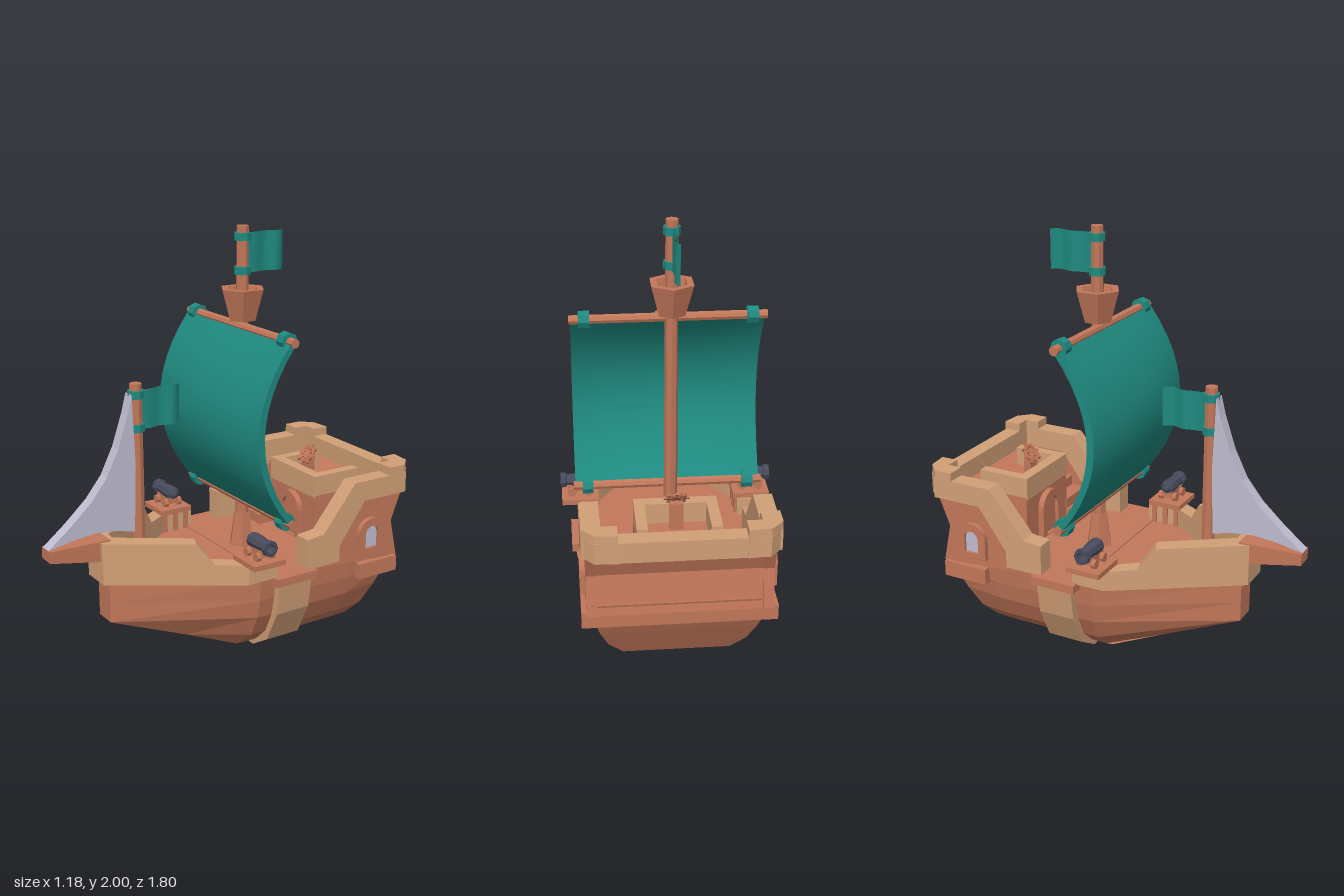
import * as THREE from 'three';

const mat = (name, color, side = THREE.FrontSide) => {
  const m = new THREE.MeshStandardMaterial({ color, side });
  m.name = name;
  return m;
};

export function createModel() {
  const wood = mat('brown wood', 0xc2775a);
  const trim = mat('tan wood', 0xd2a077);
  const teal = mat('teal cloth', 0x1f8a80, THREE.DoubleSide);
  const cloth = mat('pale cloth', 0xc0bdd0, THREE.DoubleSide);
  const iron = mat('dark iron', 0x474b5c);

  const root = new THREE.Group();
  root.name = 'ship';
  const ship = new THREE.Group();
  ship.name = 'shipBody';
  ship.position.set(-0.025, 0, -0.11);
  ship.rotation.y = -0.302;
  root.add(ship);
  const rig = new THREE.Group();
  rig.name = 'rigging';
  rig.position.x = -0.01;
  ship.add(rig);

  const add = (name, geo, m, x = 0, y = 0, z = 0, parent = ship) => {
    const mesh = new THREE.Mesh(geo, m);
    mesh.name = name;
    mesh.position.set(x, y, z);
    parent.add(mesh);
    return mesh;
  };
  const box = (name, m, x0, x1, y0, y1, z0, z1, parent = ship) =>
    add(name, new THREE.BoxGeometry(x1 - x0, y1 - y0, z1 - z0), m, (x0 + x1) / 2, (y0 + y1) / 2, (z0 + z1) / 2, parent);
  const cyl = (r0, r1, h, n = 8) => {
    const g = new THREE.CylinderGeometry(r1, r0, h, n).toNonIndexed();
    g.computeVertexNormals();
    return g;
  };
  const shapeOf = (pts) => new THREE.Shape(pts.map(([a, b]) => new THREE.Vector2(a, b)));
  const extrude = (shape, depth) => new THREE.ExtrudeGeometry(shape, { depth, bevelEnabled: false, curveSegments: 6 });
  // outline in (z, y), thickness from x0 to x1
  const sidePlate = (name, m, pts, x0, x1, parent = ship) =>
    add(name, extrude(shapeOf(pts), x1 - x0).rotateY(-Math.PI / 2), m, x1, 0, 0, parent);
  // outline in (x, z), height from y0 to y1
  const planPlate = (name, m, pts, y0, y1) =>
    add(name, extrude(shapeOf(pts.map(([x, z]) => [x, -z])), y1 - y0).rotateX(-Math.PI / 2), m, 0, y0);
  // closed solid through equal rings of points, faceted
  const loft = (rings) => {
    const n = rings[0].length, p = [];
    const tri = (a, b, c) => p.push(...a, ...b, ...c);
    for (let i = 0; i + 1 < rings.length; i++)
      for (let j = 0; j < n; j++) {
        const k = (j + 1) % n;
        tri(rings[i][j], rings[i][k], rings[i + 1][k]);
        tri(rings[i][j], rings[i + 1][k], rings[i + 1][j]);
      }
    const last = rings[rings.length - 1];
    for (let j = 1; j + 1 < n; j++) {
      tri(rings[0][0], rings[0][j + 1], rings[0][j]);
      tri(last[0], last[j], last[j + 1]);
    }
    const g = new THREE.BufferGeometry();
    g.setAttribute('position', new THREE.Float32BufferAttribute(p, 3));
    g.computeVertexNormals();
    return g;
  };

  // Hull: water-line layers [y, bow half width, bow z, side half width, stern half width, stern z]
  const layers = [
    [0.045, 0.25, 0.2, 0.255, 0.25, -0.45], [0.12, 0.17, 0.43, 0.335, 0.32, -0.49],
    [0.225, 0.055, 0.77, 0.385, 0.36, -0.545], [0.32, 0.055, 0.77, 0.405, 0.385, -0.59],
    [0.43, 0.055, 0.77, 0.415, 0.4, -0.62]];
  add('hull', loft(layers.map(([y, bw, bz, w, sw, sz]) => {
    const half = [[bw, bz], [w, 0.17], [w, -0.35], [sw, sz]];
    return [...half.map(([x, z]) => [x, y, z]), ...half.reverse().map(([x, z]) => [-x, y, z])];
  })), wood);

  // Midship band and cap plate
  const girth = [[0.23, 0.005], [0.35, 0.08], [0.43, 0.24], [0.455, 0.41]];
  add('midshipBand', extrude(shapeOf([...girth, ...girth.slice().reverse().map(([x, y]) => [-x, y])]), 0.18), trim, 0, 0, -0.09);
  box('midshipCap', wood, -0.47, 0.47, 0.395, 0.435, -0.115, 0.115);

  // Bow bulwark, carried round from one side to the other: [outer x, outer z, inner x, inner z, top]
  const path = [[0.435, 0.09, 0.35, 0.09, 0.525], [0.435, 0.25, 0.35, 0.25, 0.525], [0.351, 0.38, 0.275, 0.361, 0.53],
    [0.306, 0.45, 0.234, 0.421, 0.63], [0.075, 0.81, 0.025, 0.73, 0.63]];
  const fullPath = [...path, ...path.slice().reverse().map(([a, b, c, d, e]) => [-a, b, -c, d, e])];
  add('bowBulwark', loft(fullPath.map(([ox, oz, ix, iz, t]) =>
    [[ox, 0.43, oz], [ox, t, oz], [ix, t, iz], [ix, 0.43, iz]])), trim);

  // Bowsprit
  add('bowsprit', loft([[0.76, 0.07, 0.53, 0.637], [1.05, 0.043, 0.575, 0.63]].map(([z, w, b, t]) =>
    [[w, b, z], [w, t, z], [-w, t, z], [-w, b, z]])), wood, 0, 0, 0, rig);

  // Stern castle
  sidePlate('quarterdeck', wood, [[-0.5, 0.43], [-0.5, 0.68], [-0.64, 0.72], [-0.585, 0.57], [-0.625, 0.38]], -0.4, 0.4);
  box('cabin', wood, -0.19, 0.19, 0.43, 0.68, -0.51, -0.3);
  box('sternWale', wood, -0.443, 0.443, 0.31, 0.387, -0.615, -0.385);
  for (const s of [1, -1]) {
    const span = (a, b) => (s > 0 ? [a, b] : [-b, -a]);
    sidePlate('sternSideWall', wood, [[-0.1, 0.42], [-0.26, 0.52], [-0.4, 0.72], [-0.65, 0.72], [-0.59, 0.57], [-0.63, 0.38]],
      ...span(0.37, 0.42));
    sidePlate('sternSideRail', trim, [[-0.075, 0.43], [-0.075, 0.58], [-0.17, 0.59], [-0.35, 0.81], [-0.66, 0.81],
      [-0.66, 0.71], [-0.41, 0.71], [-0.265, 0.51], [-0.265, 0.43]], ...span(0.35, 0.437));
    planPlate('sternCornerPost', trim, [[0.437, -0.56], [0.437, -0.65], [0.38, -0.705], [0.28, -0.715], [0.28, -0.63],
      [0.35, -0.63], [0.35, -0.56]].map(([x, z]) => [x * s, z]), 0.71, 0.85);
    // Stairs
    for (let i = 0; i < 4; i++)
      box('stair', wood, ...span(0.18, 0.38), 0.43, 0.48 + i * 0.05, -0.51, -0.22 - i * 0.075);
    // Cabin roof rail sides
    box('cabinRailSide', trim, ...span(0.14, 0.19), 0.67, 0.78, -0.56, -0.3);
  }
  planPlate('sternBackRail', trim, [[0.435, -0.63], [0.435, -0.65], [0.38, -0.71], [-0.38, -0.71], [-0.435, -0.65], [-0.435, -0.63]], 0.71, 0.81);
  box('cabinRailFront', trim, -0.19, 0.19, 0.67, 0.78, -0.35, -0.295);

  // Arched openings
  const arch = (w, h) => {
    const s = new THREE.Shape();
    s.moveTo(-w / 2, 0);
    s.lineTo(w / 2, 0);
    s.lineTo(w / 2, h - w / 2);
    s.absarc(0, h - w / 2, w / 2, 0, Math.PI, false);
    return s;
  };
  for (const s of [1, -1]) {
    const win = new THREE.Group();
    win.name = 'sideWindow';
    win.position.set(s * 0.41, 0.435, -0.455);
    win.rotation.y = s * Math.PI / 2;
    ship.add(win);
    const frame = arch(0.155, 0.18);
    frame.holes.push(new THREE.Path(arch(0.075, 0.11).getPoints(6).map((p) => p.add(new THREE.Vector2(0, 0.03)))));
    add('windowFrame', extrude(frame, 0.035), wood, 0, 0, 0, win);
    add('windowPane', extrude(arch(0.09, 0.12), 0.008), cloth, 0, 0.025, 0.014, win);
  }
  const doorFrame = arch(0.17, 0.23);
  doorFrame.holes.push(new THREE.Path(arch(0.11, 0.19).getPoints(6).map((p) => p.add(new THREE.Vector2(0, 0.005)))));
  add('doorFrame', extrude(doorFrame, 0.03), wood, 0, 0.43, -0.3);
  add('door', extrude(arch(0.12, 0.2), 0.012), wood, 0, 0.43, -0.3);

  // Tilted steering wheel on its post
  box('wheelPost', wood, -0.03, 0.03, 0.68, 0.81, -0.41, -0.37);
  const wheel = new THREE.Group();
  wheel.name = 'steeringWheel';
  wheel.position.set(0, 0.83, -0.385);
  wheel.rotation.x = -0.7;
  ship.add(wheel);
  add('wheelRim', new THREE.TorusGeometry(0.04, 0.01, 5, 8), wood, 0, 0, 0, wheel);
  for (let i = 0; i < 4; i++)
    add('wheelSpoke', new THREE.BoxGeometry(0.115, 0.012, 0.012), wood, 0, 0, 0, wheel).rotation.z = i * Math.PI / 4;

  // Masts, bands and flags
  const flag = (y, z) => {
    const g = new THREE.PlaneGeometry(0.21, 0.187, 12, 1).rotateY(Math.PI / 2);
    const p = g.attributes.position;
    for (let i = 0; i < p.count; i++) {
      const t = 0.5 - p.getZ(i) / 0.21;
      p.setX(i, Math.sin(t * 10) * 0.016 * t - 0.006 * t);
    }
    g.computeVertexNormals();
    add('flag', g, teal, 0, y, z - 0.13, rig);
  };
  for (const [name, z, top] of [['mainMast', 0, 2], ['foreMast', 0.576, 1.333]]) {
    add(name, cyl(0.033, 0.029, top - 0.43), wood, 0, (top + 0.43) / 2, z, rig);
    for (const d of [0.05, 0.207]) add('mastBand', cyl(0.04, 0.04, 0.036), teal, 0, top - d, z, rig);
    flag(top - 0.128, z);
  }
  add('mastFoot', cyl(0.065, 0.04, 0.17, 6), wood, 0, 0.515, 0, rig);
  const nest = new THREE.LatheGeometry([[0, 1.56], [0.068, 1.56], [0.11, 1.71], [0.077, 1.71], [0.06, 1.62], [0, 1.62]]
    .map(([r, y]) => new THREE.Vector2(r, y)), 6).toNonIndexed();
  nest.computeVertexNormals();
  add('crowsNest', nest, wood, 0, 0, 0, rig);

  // Yards and main sail
  for (const y of [1.535, 0.68]) {
    add('yard', cyl(0.022, 0.022, 0.9).rotateZ(Math.PI / 2), wood, 0.012, y, 0.022, rig);
    for (const s of [1, -1]) add('yardBand', cyl(0.042, 0.042, 0.05).rotateZ(Math.PI / 2), teal, 0.012 + s * 0.382, y, 0.022, rig);
  }
  const sail = new THREE.BoxGeometry(0.88, 0.84, 0.035, 12, 12, 1);
  const sp = sail.attributes.position;
  for (let i = 0; i < sp.count; i++) {
    const s = sp.getX(i) / 0.44, t = sp.getY(i) / 0.42;
    sp.setZ(i, sp.getZ(i) + 0.165 * (1 - t * t) + 0.03 * (1 - s * s) * (1 - t * t));
  }
  sail.computeVertexNormals();
  add('mainSail', sail, teal, 0.014, 1.108, 0.028, rig);

  // Fore sail
  sidePlate('foreSail', cloth, [[0.612, 1.29], [0.635, 1.2], [0.688, 1.045], [0.75, 0.92], [0.83, 0.82], [0.94, 0.72],
    [1.05, 0.632], [0.93, 0.655], [0.815, 0.667], [0.7, 0.655], [0.612, 0.632], [0.6, 0.95]], -0.03, 0.03, rig);

  // Cannons on side platforms
  const barrel = [[0, -0.1], [0.018, -0.09], [0.018, -0.08], [0.036, -0.07], [0.036, -0.02], [0.028, 0.05], [0.038, 0.055],
    [0.038, 0.08], [0.022, 0.08], [0.02, 0.04], [0, 0.04]];
  for (const s of [1, -1]) {
    const gun = new THREE.Group();
    gun.name = 'gunPlatform';
    gun.position.z = 0.185;
    gun.rotation.y = s > 0 ? 0 : Math.PI;
    ship.add(gun);
    box('platformTop', wood, 0.33, 0.51, 0.525, 0.55, -0.085, 0.085, gun);
    for (const z of [-0.06, 0, 0.06]) box('platformLeg', wood, 0.34, 0.365, 0.43, 0.53, z - 0.012, z + 0.012, gun);
    box('carriage', wood, 0.36, 0.48, 0.57, 0.6, -0.028, 0.028, gun);
    for (const x of [0.38, 0.46])
      for (const z of [-0.038, 0.038])
        add('carriageWheel', cyl(0.022, 0.022, 0.02).rotateX(Math.PI / 2), wood, x, 0.572, z, gun);
    const g = new THREE.LatheGeometry(barrel.map(([r, y]) => new THREE.Vector2(r, y)), 8).toNonIndexed();
    g.computeVertexNormals();
    add('cannonBarrel', g.rotateZ(-Math.PI / 2), iron, 0.435, 0.62, 0, gun);
  }
  return root;
}
